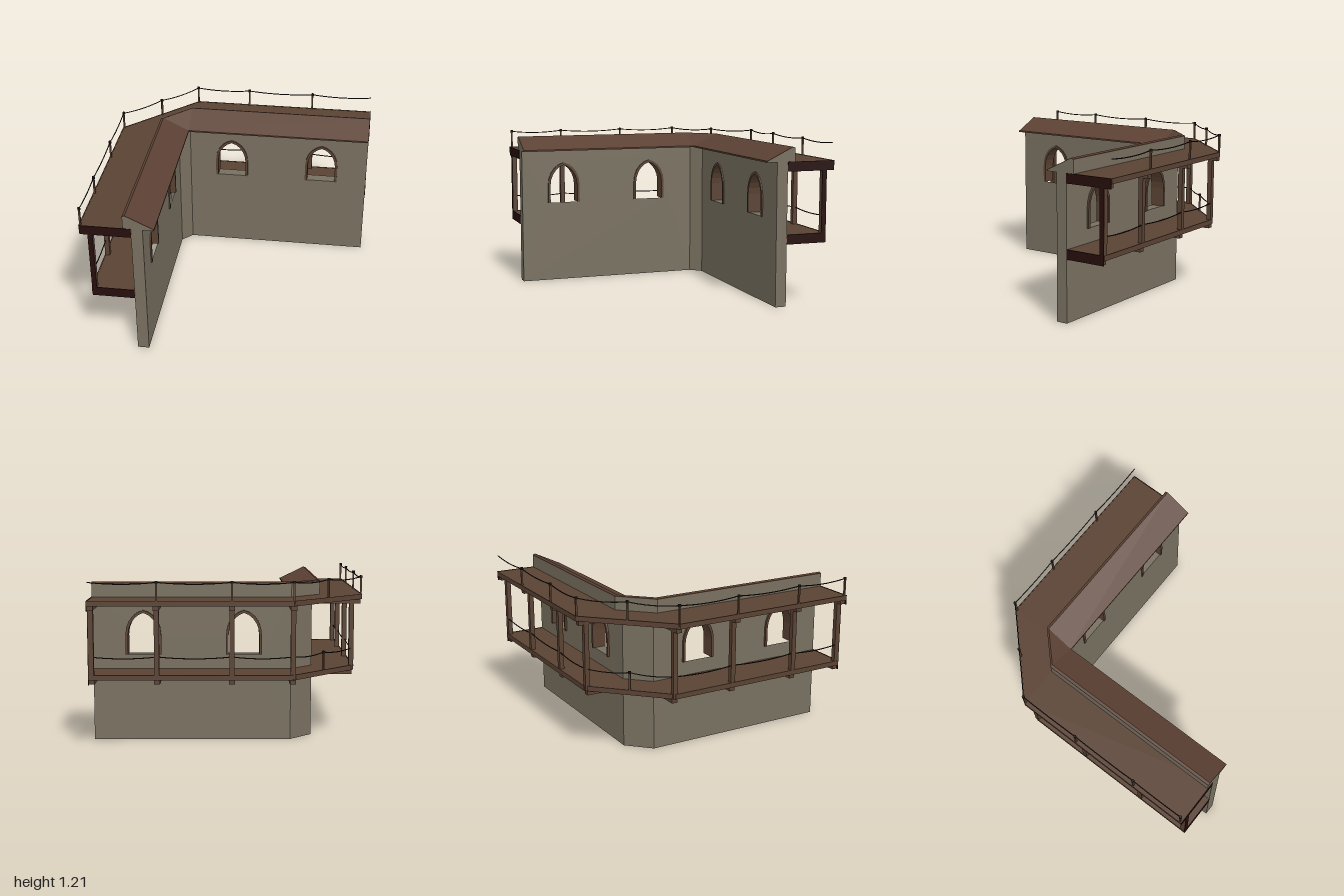
import * as THREE from 'three';

const C = -0.455;              // pivot of the chamfered corner on both axes
const WALL_IN = 0.08, WALL_OUT = 0.165;

const mat = (name, color, side = THREE.FrontSide) => {
  const m = new THREE.MeshStandardMaterial({ color, side });
  m.name = name;
  return m;
};

// Point at distance d outward from the pivot line, at each path station
const stations = (d) => [[1, C - d], [C, C - d], [C - d, C], [C - d, 1]];

// Sweeps a convex counter-clockwise (d, y) profile round the corner
function sweep(profile, from = 0, to = 3) {
  const pos = [];
  const at = (k, [d, y]) => {
    const [x, z] = stations(d)[k];
    return [x, y, z];
  };
  const tri = (a, b, c) => pos.push(...a, ...b, ...c);
  const n = profile.length;
  for (let k = from; k < to; k++) {
    for (let i = 0; i < n; i++) {
      const p = profile[i], q = profile[(i + 1) % n];
      const a = at(k, p), b = at(k, q), c = at(k + 1, q), e = at(k + 1, p);
      tri(a, e, c);
      tri(a, c, b);
    }
  }
  for (let i = 1; i < n - 1; i++) {
    const [p, q, r] = [profile[0], profile[i], profile[i + 1]];
    tri(at(from, p), at(from, q), at(from, r));
    tri(at(to, p), at(to, r), at(to, q));
  }
  const g = new THREE.BufferGeometry();
  g.setAttribute('position', new THREE.Float32BufferAttribute(pos, 3));
  g.computeVertexNormals();
  return g;
}

const rect = (d0, d1, y0, y1) => [[d0, y0], [d1, y0], [d1, y1], [d0, y1]];

// Pointed arch outline, traced left to right or back again
function arch(path, c, w, top, reverse) {
  const s = reverse ? -1 : 1;
  const x = (f) => c + s * f * w;
  path.lineTo(x(-1), 0.64);
  path.lineTo(x(-1), 0.78);
  path.bezierCurveTo(x(-1), top - 0.085, x(-0.55), top - 0.015, c, top);
  path.bezierCurveTo(x(0.55), top - 0.015, x(1), top - 0.085, x(1), 0.78);
  path.lineTo(x(1), 0.64);
}

export function createModel() {
  const root = new THREE.Group();
  root.name = 'cornerWall';
  const stone = mat('stone', 0x787060);
  const wood = mat('wood', 0x5a4233);
  const roofWood = mat('roofWood', 0x5c4134);
  const darkWood = mat('darkWood', 0x260e0c);
  const ropeMat = mat('rope', 0x1c1613);

  const add = (parent, name, geo, material, x = 0, y = 0, z = 0) => {
    const m = new THREE.Mesh(geo, material);
    m.name = name;
    m.position.set(x, y, z);
    parent.add(m);
    return m;
  };
  const box = (parent, name, material, u0, u1, y0, y1, d0, d1) =>
    add(parent, name, new THREE.BoxGeometry(Math.abs(u1 - u0), y1 - y0, d1 - d0), material,
      (u0 + u1) / 2, (y0 + y1) / 2, C - (d0 + d1) / 2);

  // Corner wall piece and roof
  add(root, 'cornerPiece', sweep(rect(WALL_IN, WALL_OUT, 0, 1.07), 1, 2), stone);
  add(root, 'parapet', sweep([[0.001, 1.068], [0.223, 1.068], [0.223, 1.165], [0.203, 1.172], [0.001, 1.074]]), stone);
  add(root, 'roofSlope', sweep([[0.001, 1.074], [0.203, 1.172], [0.203, 1.178], [0.001, 1.08]]), roofWood);
  add(root, 'roofRidge', sweep([[0.203, 1.172], [0.223, 1.165], [0.223, 1.171], [0.203, 1.178]]), roofWood);
  add(root, 'eaveTrim', sweep(rect(-0.003, 0.001, 1.068, 1.08)), roofWood);

  // Two walkways: deck boards and edge trim
  const levels = [
    { name: 'upper', y: 1.07, edge: 0.535, rail: 0.53, rope: 1.2 },
    { name: 'lower', y: 0.535, edge: 0.477, rail: 0.47, rope: 0.665 },
  ];
  for (const l of levels) {
    add(root, l.name + 'Deck', sweep(rect(WALL_OUT - 0.005, l.edge, l.y - 0.035, l.y - 0.003)), wood);
    add(root, l.name + 'DeckTrim', sweep(rect(l.edge, l.edge + 0.006, l.y - 0.038, l.y)), wood);
  }

  // One straight wing, laid along x; s flips its direction
  function wing(name, s, windows, posts) {
    const g = new THREE.Group();
    g.name = name;

    const wall = new THREE.Shape();
    wall.moveTo(s * C, 0);
    wall.lineTo(s, 0);
    wall.lineTo(s, 1.07);
    wall.lineTo(s * C, 1.07);
    for (const w of windows) {
      const hole = new THREE.Path();
      hole.moveTo(s * w - 0.13, 0.64);
      arch(hole, s * w, 0.13, 0.963);
      wall.holes.push(hole);

      // Arched window surround, open at the sill
      const frame = new THREE.Shape();
      frame.moveTo(s * w - 0.132, 0.64);
      arch(frame, s * w, 0.132, 0.967);
      arch(frame, s * w, 0.113, 0.947, true);
      add(g, 'windowFrame', new THREE.ExtrudeGeometry(frame,
        { depth: 0.11, bevelEnabled: false, curveSegments: 5 }), wood, 0, 0, C - 0.18);
    }
    add(g, 'wall', new THREE.ExtrudeGeometry(wall,
      { depth: WALL_OUT - WALL_IN, bevelEnabled: false, curveSegments: 5 }), stone, 0, 0, C - WALL_OUT);

    // Support posts with a cross beam under each deck
    for (const u of posts) {
      const c = s * u, h = 0.018;
      box(g, 'supportPost', wood, c - h, c + h, 0.5, 1.03, 0.444, 0.48);
      for (const l of levels)
        box(g, l.name + 'Beam', wood, c - 0.022, c + 0.022, l.y - 0.07, l.y - 0.034, WALL_OUT, l.edge - 0.01);
    }

    // Dark end faces of the timber
    const e0 = s * 0.998, e1 = s * 1.003;
    for (const l of levels)
      box(g, l.name + 'EndFace', darkWood, e0, e1, l.y - 0.072, l.y, WALL_OUT, l.edge + 0.003);
    box(g, 'postEndFace', darkWood, e0, e1, 0.53, 1.0, 0.444, 0.48);
    root.add(g);
    return g;
  }
  wing('backWing', 1, [-0.11, 0.63], [C, -0.02, 0.515, 0.98]);
  wing('sideWing', -1, [-0.08, 0.655], [C, 0.03, 0.57, 0.98]).rotation.y = Math.PI / 2;

  // Rope railings with sagging spans
  for (const l of levels) {
    const o = C - l.rail, m = (C + o) / 2;
    const nodes = [[0.995, o], [0.51, o], [-0.02, o], [C, o], [m, m], [o, C], [o, 0.03], [o, 0.56], [o, 0.985]];
    nodes.forEach(([x, z], i) => {
      const hasPost = l.name === 'upper' ? i > 0 : i === 4;
      if (hasPost) {
        const top = l.rope + 0.006;
        const post = add(root, l.name + 'RailPost', new THREE.BoxGeometry(0.013, top - l.y + 0.02, 0.013), wood,
          x, (top + l.y - 0.02) / 2, z);
        if (i === 4) post.rotation.y = Math.PI / 4;
        add(root, l.name + 'RailKnob', new THREE.CylinderGeometry(0.011, 0.011, 0.018, 8), ropeMat, x, l.rope, z);
      }
      if (i === 0) return;
      const [px, pz] = nodes[i - 1];
      const curve = new THREE.QuadraticBezierCurve3(
        new THREE.Vector3(px, l.rope, pz),
        new THREE.Vector3((px + x) / 2, l.rope - 0.028, (pz + z) / 2),
        new THREE.Vector3(x, l.rope, z));
      add(root, l.name + 'Rope', new THREE.TubeGeometry(curve, 10, 0.004, 6), ropeMat);
    });
  }
  return root;
}
